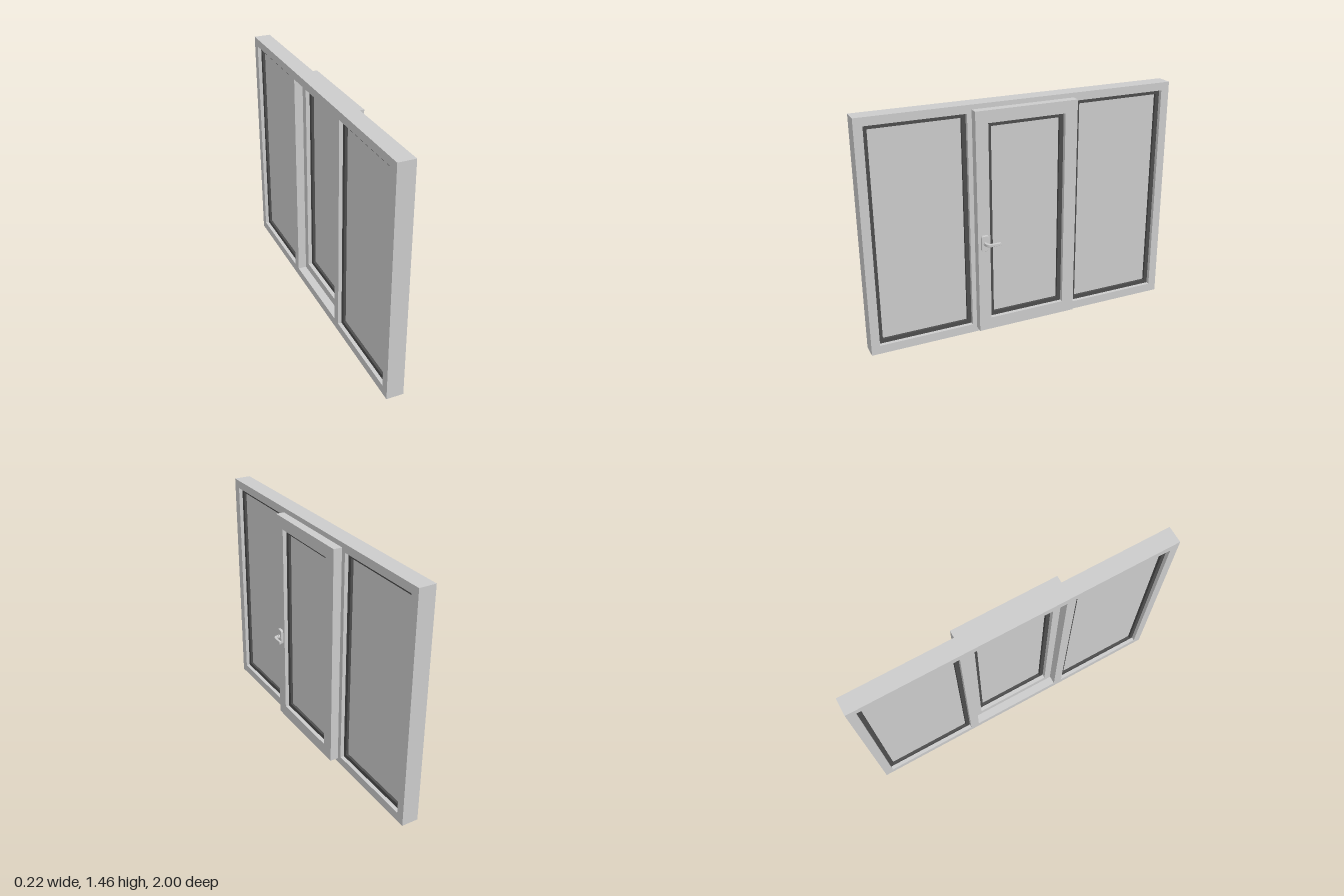
import * as THREE from 'three';

const grey = new THREE.MeshStandardMaterial({ color: 0xcccccc });
const rubber = new THREE.MeshStandardMaterial({ color: 0x4d4d4d });

// Rectangle outline given as [z0, z1, y0, y1]; u = -z so that the slab can be turned to face +x
function rect(target, [z0, z1, y0, y1]) {
  target.moveTo(-z1, y0).lineTo(-z0, y0).lineTo(-z0, y1).lineTo(-z1, y1).closePath();
  return target;
}

// Upright slab with rectangular openings, between x0 and x1
function slab(name, outer, holes, x0, x1, material = grey) {
  const shape = rect(new THREE.Shape(), outer);
  for (const h of holes) shape.holes.push(rect(new THREE.Path(), h));
  const geo = new THREE.ExtrudeGeometry(shape, { depth: x1 - x0, bevelEnabled: false });
  geo.rotateY(Math.PI / 2).translate(x0, 0, 0);
  const mesh = new THREE.Mesh(geo, material);
  mesh.name = name;
  return mesh;
}

const inset = ([z0, z1, y0, y1], d) => [z0 + d, z1 - d, y0 + d, y1 - d];

// Glass pane held in a dark gasket, centred on x
function glazing(name, opening, x) {
  const g = new THREE.Group();
  g.name = name;
  const inner = inset(opening, 0.026);
  g.add(slab('gasket', opening, [inner], x - 0.029, x + 0.029, rubber));
  g.add(slab('pane', inner, [], x - 0.013, x + 0.013));
  return g;
}

function makeHandle() {
  const handle = new THREE.Group();
  handle.name = 'handle';

  // Backplate: rounded rectangle with a soft front edge
  const w = 0.021, h = 0.047, r = 0.012;
  const plate = new THREE.Shape();
  plate.moveTo(-w + r, -h).lineTo(w - r, -h).quadraticCurveTo(w, -h, w, -h + r)
    .lineTo(w, h - r).quadraticCurveTo(w, h, w - r, h)
    .lineTo(-w + r, h).quadraticCurveTo(-w, h, -w, h - r)
    .lineTo(-w, -h + r).quadraticCurveTo(-w, -h, -w + r, -h);
  const plateGeo = new THREE.ExtrudeGeometry(plate, {
    depth: 0.011, bevelThickness: 0.003, bevelSize: 0.003, bevelSegments: 2, curveSegments: 6,
  });
  plateGeo.rotateY(Math.PI / 2).translate(0.051, 0.625, 0.285);
  const plateMesh = new THREE.Mesh(plateGeo, grey);
  plateMesh.name = 'handlePlate';
  handle.add(plateMesh);

  // Lever: bent bar drawn in plan (x, -z), extruded upwards
  const bar = new THREE.Shape();
  bar.moveTo(0.062, -0.292).lineTo(0.074, -0.292)
    .bezierCurveTo(0.094, -0.292, 0.107, -0.279, 0.107, -0.257)
    .lineTo(0.107, -0.203).lineTo(0.096, -0.203).lineTo(0.096, -0.257)
    .bezierCurveTo(0.096, -0.27, 0.087, -0.279, 0.074, -0.279)
    .lineTo(0.062, -0.279).closePath();
  const barGeo = new THREE.ExtrudeGeometry(bar, {
    depth: 0.012, bevelThickness: 0.003, bevelSize: 0.002, bevelSegments: 2, curveSegments: 10,
  });
  barGeo.rotateX(-Math.PI / 2).translate(0, 0.619, 0);
  const lever = new THREE.Mesh(barGeo, grey);
  lever.name = 'lever';
  handle.add(lever);

  // Collar where the lever leaves the plate
  const collar = new THREE.Mesh(new THREE.CylinderGeometry(0.012, 0.012, 0.01, 20), grey);
  collar.name = 'collar';
  collar.rotation.z = Math.PI / 2;
  collar.position.set(0.068, 0.625, 0.285);
  handle.add(collar);
  return handle;
}

export function createModel() {
  const model = new THREE.Group();
  model.name = 'window';

  // Fixed outer frame with three openings
  const bottom = 0.055, top = 1.41;
  const sides = [[-0.947, -0.352, bottom, top], [0.352, 0.947, bottom, top]];
  const middle = [-0.295, 0.295, bottom, top];
  model.add(slab('outerFrame', [-1, 1, 0, 1.46], [...sides, middle], -0.112, -0.007));
  model.add(glazing('rightGlazing', sides[0], -0.06));
  model.add(glazing('leftGlazing', sides[1], -0.06));

  // Opening sash: lip over the frame and rebate inside the middle opening
  const sash = new THREE.Group();
  sash.name = 'sash';
  const light = [-0.245, 0.247, 0.108, 1.357];
  sash.add(slab('sashLip', [-0.325, 0.325, 0.03, 1.432], [light], -0.005, 0.048));
  sash.add(slab('sashRebate', inset(middle, 0.002), [light], -0.06, -0.005));
  sash.add(glazing('sashGlazing', light, -0.006));
  sash.add(makeHandle());
  model.add(sash);

  return model;
}
